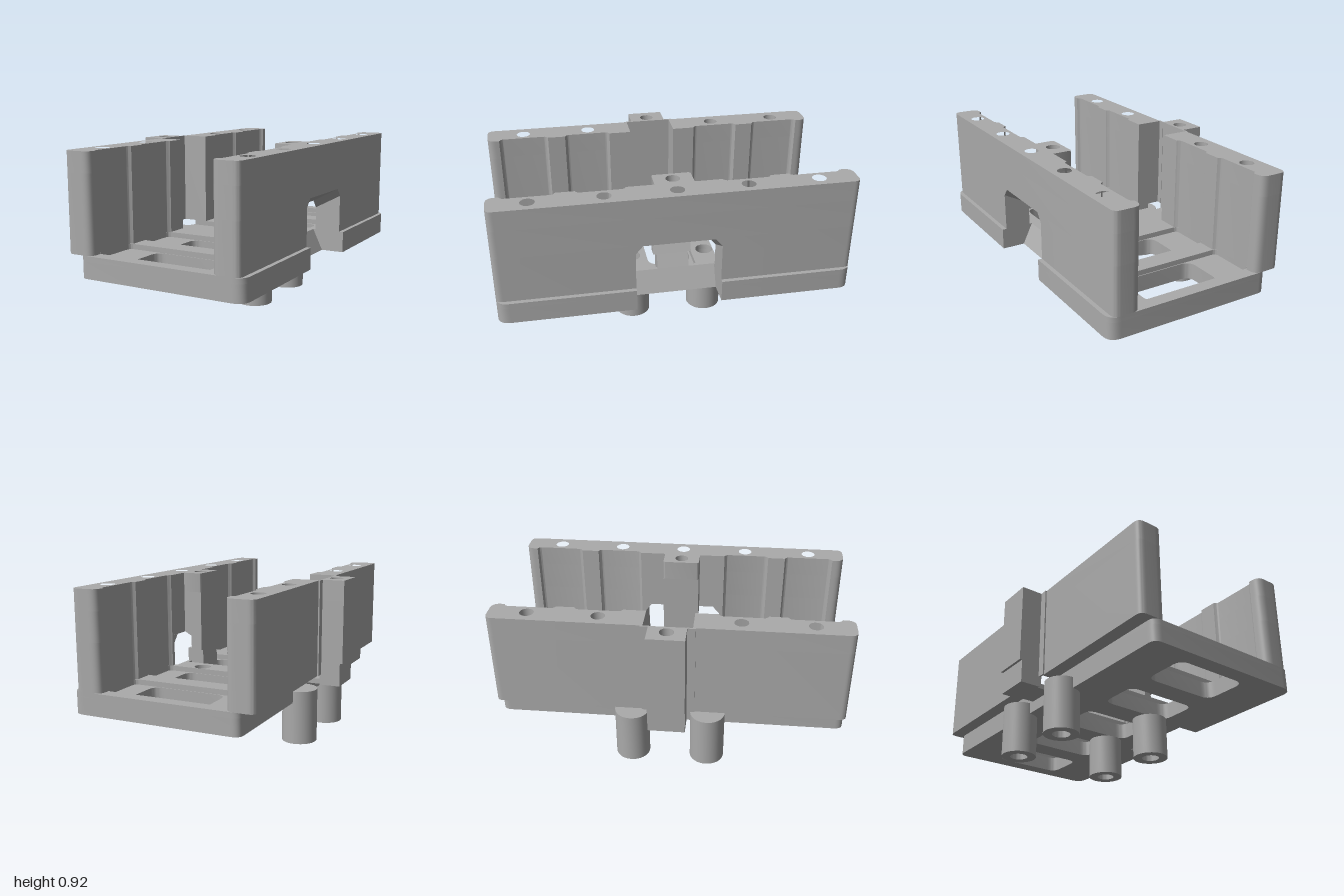
import * as THREE from 'three';
import { toCreasedNormals } from 'three/addons/utils/BufferGeometryUtils.js';

const grey = new THREE.MeshStandardMaterial({ color: 0xaaaaaa });
grey.name = 'grey plastic';

// Closed outline from [x, z, cornerRadius] points
function outline(points, Type = THREE.Shape) {
  const path = new Type();
  const n = points.length;
  const toward = (a, b, d) => {
    const len = Math.hypot(b[0] - a[0], b[1] - a[1]);
    return [a[0] + (b[0] - a[0]) * d / len, a[1] + (b[1] - a[1]) * d / len];
  };
  points.forEach((p, i) => {
    const r = p[2] || 0;
    const a = r ? toward(p, points[(i + n - 1) % n], r) : p;
    if (i === 0) path.moveTo(a[0], a[1]); else path.lineTo(a[0], a[1]);
    if (r) {
      const b = toward(p, points[(i + 1) % n], r);
      path.quadraticCurveTo(p[0], p[1], b[0], b[1]);
    }
  });
  path.closePath();
  return path;
}
const rect = (x0, x1, z0, z1, r = 0) => [[x0, z0, r], [x1, z0, r], [x1, z1, r], [x0, z1, r]];
const rectHole = (...args) => outline(rect(...args), THREE.Path);
const roundHole = (x, z, r) => new THREE.Path().absarc(x, z, r, 0, Math.PI * 2, true);
const mirrorZ = pts => pts.map(([x, z, r]) => [x, -z, r]);

export function createModel() {
  const model = new THREE.Group();
  model.name = 'slottedCradle';

  const add = (name, geometry) => {
    const mesh = new THREE.Mesh(geometry, grey);
    mesh.name = name;
    model.add(mesh);
    return mesh;
  };
  // Plan outline raised from y0 to y1
  const slab = (name, pts, y0, y1, holes = []) => {
    const shape = outline(pts);
    shape.holes = holes;
    const g = new THREE.ExtrudeGeometry(shape, { depth: y1 - y0, bevelEnabled: false, curveSegments: 10 });
    g.rotateX(-Math.PI / 2).translate(0, y0, 0);
    return add(name, toCreasedNormals(g, 0.6));
  };
  // Side profile in x and y, stretched symmetrically along z
  const prism = (name, pts, half) => {
    const g = new THREE.ExtrudeGeometry(outline(pts), { depth: half * 2, bevelEnabled: false });
    return add(name, g.translate(0, 0, -half));
  };
  const box = (name, x0, x1, y0, y1, z0, z1) => {
    const g = new THREE.BoxGeometry(x1 - x0, y1 - y0, z1 - z0);
    return add(name, g.translate((x0 + x1) / 2, (y0 + y1) / 2, (z0 + z1) / 2));
  };

  const bottom = 0.24, floor = 0.335, deck = 0.365, top = 0.915, pinFloor = 0.8, head = 0.635;
  const pockets = [[0.27, 0.53], [0.645, 0.925]];
  const bossZ = 0.217;

  // Base floor with five windows and two screw holes
  const edge = [[0.405, 0.24], [0.6, 0.24], [0.6, 1, 0.07], [-0.39, 1, 0.05]];
  const windows = [rectHole(-0.14, 0.31, -0.125, 0.125, 0.06)];
  const recesses = [];
  const screws = [];
  for (const s of [-1, 1]) {
    for (const [a, b] of pockets) {
      windows.push(rectHole(-0.14, 0.31, s * (a + 0.005), s * (b - 0.015), 0.06));
      recesses.push(rectHole(-0.33, 0.44, s * a, s * b, 0.03));
    }
    screws.push(roundHole(0.24, s * bossZ, 0.05));
  }
  slab('baseFloor', [...edge, ...mirrorZ(edge).reverse()], bottom, floor, [...windows, ...screws]);

  // Base rim with shallow recesses and an open central channel
  const channel = [[-0.39, -0.135], [0.385, -0.135], [0.385, 0.135], [-0.39, 0.135]];
  slab('baseRim', [...edge, ...channel.slice().reverse(), ...mirrorZ(edge).reverse()],
    floor, deck, [...recesses, ...screws]);

  // Sloping back of the side slot
  prism('slotSlope', [[0.385, bottom], [0.465, bottom], [0.405, deck], [0.385, deck]], 0.24);

  // Wall half-outline with vertical grooves facing the pockets
  const wallHalf = (inner, groove, outer, start) => {
    const pts = [[outer, start], [inner, start]];
    for (const [a, b] of pockets) {
      pts.push([inner, a - 0.006], [groove, a + 0.008, 0.012], [groove, b - 0.008, 0.012], [inner, b + 0.006]);
    }
    pts.push([inner, 1, 0.05], [outer, 1, 0.04]);
    return pts;
  };
  const pinZ = [0.39, 0.785];

  // Left wall (model's right side), two halves either side of the central gap
  for (const s of [-1, 1]) {
    const half = wallHalf(-0.31, -0.33, -0.47, 0.135);
    const pts = s > 0 ? half : mirrorZ(half);
    slab('splitWall', pts, deck, pinFloor);
    slab('splitWallTop', pts, pinFloor, top, pinZ.map(z => roundHole(-0.39, s * z, 0.04)));
  }

  // Continuous wall, with its lower portion parted around the slot
  const lower = wallHalf(0.42, 0.44, 0.575, 0.24);
  slab('slotWallFoot', lower, deck, head);
  slab('slotWallFoot', mirrorZ(lower), deck, head);
  const half = wallHalf(0.42, 0.44, 0.575, 0.2).slice(1);
  const full = [...half, ...mirrorZ(half).reverse()];
  slab('slotWall', full, head, pinFloor);
  slab('slotWallTop', full, pinFloor, top,
    [0, ...pinZ, ...pinZ.map(z => -z)].map(z => roundHole(0.5, z, 0.04)));

  // Sloped slot ceiling and its chamfered corners
  prism('slotCeiling', [[0.42, 0.55], [0.575, 0.632], [0.575, head], [0.42, head]], 0.24);
  for (const s of [-1, 1]) {
    const g = new THREE.ExtrudeGeometry(
      outline([[s * 0.24, 0.585], [s * 0.24, 0.632], [s * 0.2, 0.632]]),
      { depth: 0.155, bevelEnabled: false });
    g.rotateY(Math.PI / 2).translate(0.42, 0, 0);
    const p = g.attributes.position;
    for (let i = 0; i < p.count; i++) p.setY(i, p.getY(i) + (p.getX(i) - 0.575) * 0.53);
    g.computeVertexNormals();
    add('slotCornerChamfer', g);
  }

  // Inner catch block, notched by the slot
  prism('catchFoot', [[0.305, floor], [0.405, floor], [0.405, deck], [0.367, 0.44], [0.305, 0.44]], 0.09);
  prism('catchBlock', [[0.305, 0.44], [0.367, 0.44], [0.335, 0.505], [0.42, 0.55],
    [0.42, pinFloor], [0.305, pinFloor]], 0.11);
  slab('catchTop', [[0.305, -0.11, 0.015], [0.42, -0.11], [0.42, 0.11], [0.305, 0.11, 0.015]],
    pinFloor, top, [roundHole(0.365, 0, 0.04)]);

  // Outer latch block, its webs to the wall and the tongue to the base
  box('latchFoot', -0.59, -0.47, 0.305, 0.44, -0.105, 0.105);
  const latch = rect(-0.605, -0.47, -0.105, 0.105);
  slab('latchBlock', latch, 0.44, pinFloor);
  slab('latchTop', latch, pinFloor, top, [roundHole(-0.525, 0, 0.04)]);
  box('latchTongue', -0.47, -0.38, 0.305, floor, -0.09, 0.09);
  for (const s of [-1, 1]) {
    const [a, b] = s > 0 ? [0.1, 0.15] : [-0.15, -0.1];
    box('latchWeb', -0.478, -0.468, deck, top, a, b);
  }

  // Four hollow legs; the outer pair has closed tops
  const leg = (x, z, h, blind) => {
    const profile = blind
      ? [[0, h - 0.06], [0.05, h - 0.06], [0.05, 0], [0.1, 0], [0.1, h], [0, h]]
      : [[0.05, h], [0.05, 0], [0.1, 0], [0.1, h], [0.05, h]];
    const g = new THREE.LatheGeometry(profile.map(([r, y]) => new THREE.Vector2(r, y)), 40);
    const mesh = add('leg', toCreasedNormals(g, 0.6));
    mesh.position.set(x, 0, z);
  };
  for (const s of [-1, 1]) {
    leg(-0.393, s * 0.22, 0.305, true);
    leg(0.24, s * bossZ, bottom, false);
  }

  return model;
}
